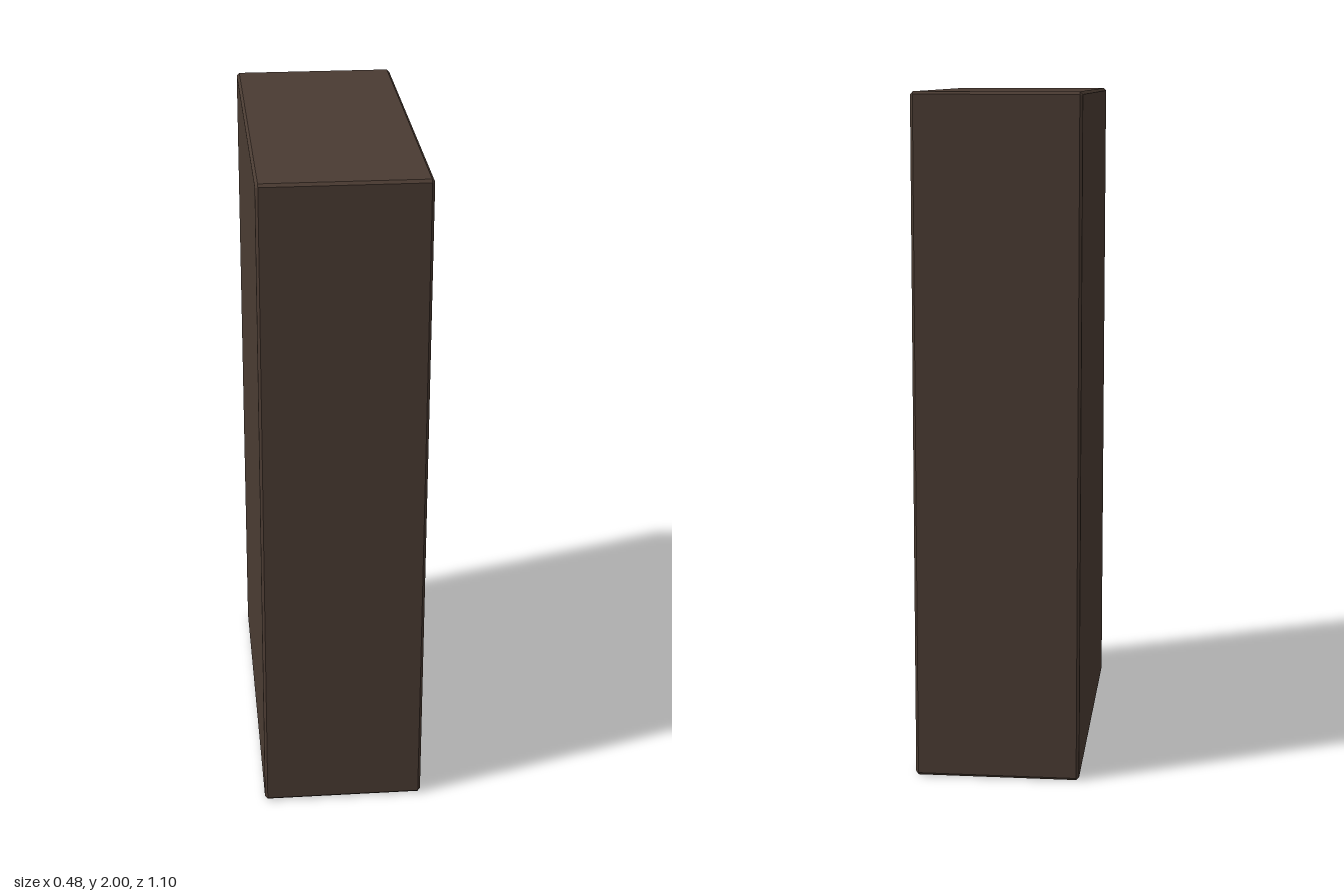
import * as THREE from 'three';

const BEVEL = 0.008;

// Rectangle outline with tiny clipped corners
function clippedRect(path, x0, x1, y0, y1, c) {
  path.moveTo(x0 + c, y0);
  path.lineTo(x1 - c, y0);
  path.lineTo(x1, y0 + c);
  path.lineTo(x1, y1 - c);
  path.lineTo(x1 - c, y1);
  path.lineTo(x0 + c, y1);
  path.lineTo(x0, y1 - c);
  path.lineTo(x0, y0 + c);
  path.closePath();
  return path;
}

const outline = () => clippedRect(new THREE.Shape(), -0.55, 0.55, 0, 2, BEVEL);

// Bevelled slab in the z-y plane, reaching from x0 to x1
function slab(name, shape, x0, x1, material) {
  const geometry = new THREE.ExtrudeGeometry(shape, {
    depth: x1 - x0 - 2 * BEVEL,
    bevelEnabled: true,
    bevelThickness: BEVEL,
    bevelSize: BEVEL,
    bevelOffset: -BEVEL,
    bevelSegments: 1,
  });
  geometry.translate(0, 0, x0 + BEVEL);
  geometry.rotateY(Math.PI / 2);
  const mesh = new THREE.Mesh(geometry, material);
  mesh.name = name;
  return mesh;
}

export function createModel() {
  const group = new THREE.Group();
  group.name = 'bookcase';

  const wood = new THREE.MeshStandardMaterial({ color: 0x4a3b32 });
  wood.name = 'darkWood';

  // Frame and shelves: one slab with four openings towards +x
  const frame = outline();
  const openings = [[0.135, 0.57], [0.605, 1.003], [1.037, 1.437], [1.472, 1.872]];
  for (const [bottom, top] of openings) {
    frame.holes.push(clippedRect(new THREE.Path(), -0.48, 0.48, bottom, top, 0.004));
  }
  group.add(slab('frameAndShelves', frame, -0.226, 0.242, wood));

  // Closed back, overlapping the frame so the sides run through
  group.add(slab('backPanel', outline(), -0.242, -0.21, wood));

  return group;
}
